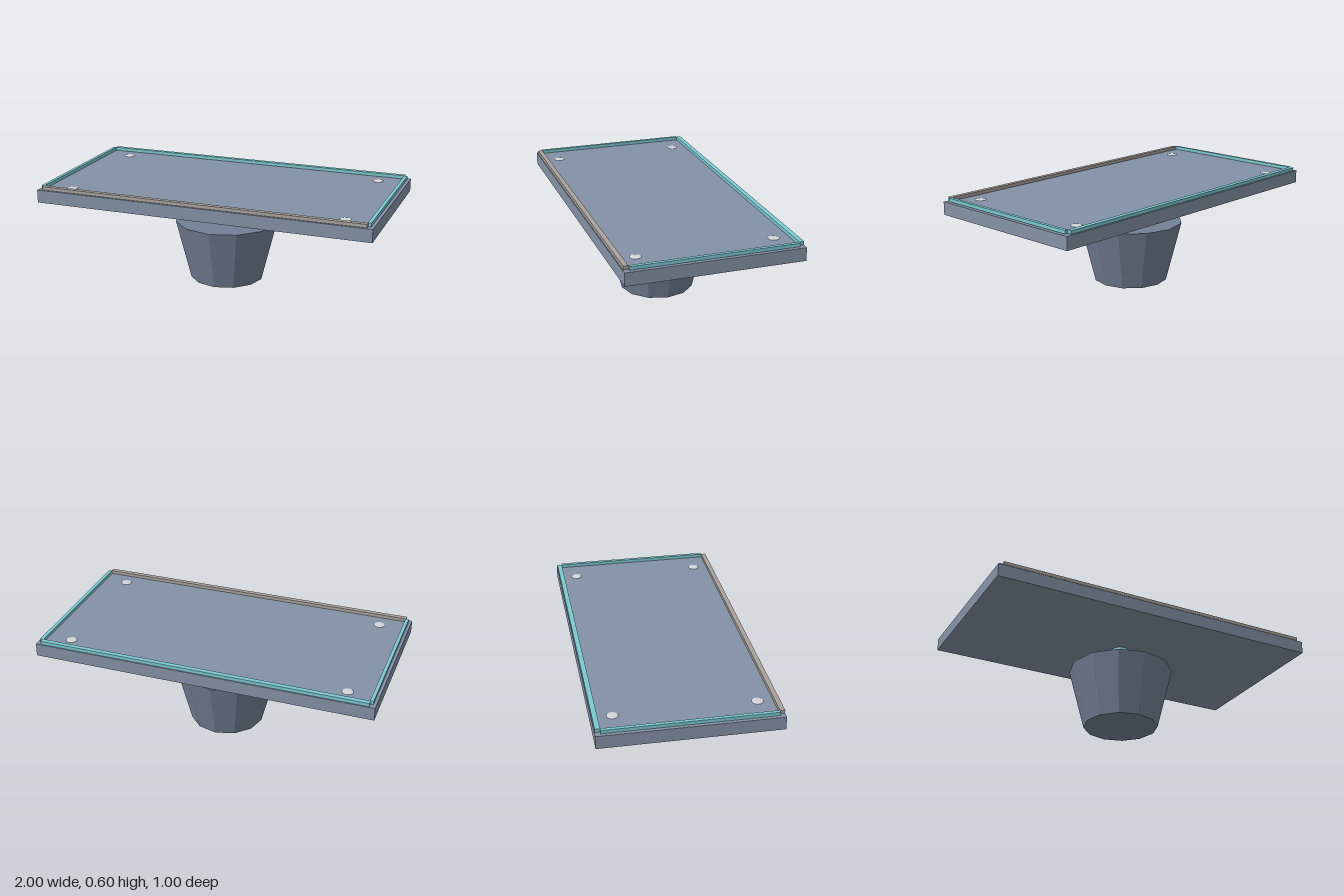
import * as THREE from 'three';

const material = (color) => new THREE.MeshStandardMaterial({ color, flatShading: true });

export function createModel() {
  const model = new THREE.Group();
  const slate = material(0x8491a5);
  const darkSlate = material(0x738095);
  const teal = material(0x7cc8d0);
  const warmGrey = material(0xa8a29e);
  const pale = material(0xd2d6da);

  const add = (name, geometry, mat, x, y, z) => {
    const mesh = new THREE.Mesh(geometry, mat);
    mesh.name = name;
    mesh.position.set(x, y, z);
    model.add(mesh);
    return mesh;
  };

  // Tapered foot and short column
  add('foot', new THREE.CylinderGeometry(0.311, 0.22, 0.362, 12), darkSlate, 0, 0.181, 0);
  add('column', new THREE.CylinderGeometry(0.062, 0.062, 0.14, 12), teal, 0, 0.431, 0);

  // Flat slab
  const top = 0.576;
  add('slab', new THREE.BoxGeometry(2, top - 0.5, 1), slate, 0, (top + 0.5) / 2, 0);

  // Raised rim: long rails front and back, thin rails at the sides
  const railHeight = 0.02;
  const railY = 0.589;
  const longRail = new THREE.BoxGeometry(1.935, railHeight, 0.028);
  add('frontRail', longRail, warmGrey, 0, railY, 0.484);
  add('backRail', longRail, teal, 0, railY, -0.484);
  const sideRail = new THREE.BoxGeometry(0.02, railHeight, 0.94);
  for (const side of [-1, 1]) {
    add(side > 0 ? 'leftRail' : 'rightRail', sideRail, teal, side * 0.974, railY, 0);
  }

  // Low domed studs near the corners
  const stud = new THREE.SphereGeometry(0.032, 12, 4, 0, Math.PI * 2, 0, Math.PI / 2);
  stud.scale(1, 0.18, 1);
  for (const x of [-0.825, 0.825]) {
    for (const z of [-0.388, 0.388]) add('cornerStud', stud, pale, x, top, z);
  }

  return model;
}
